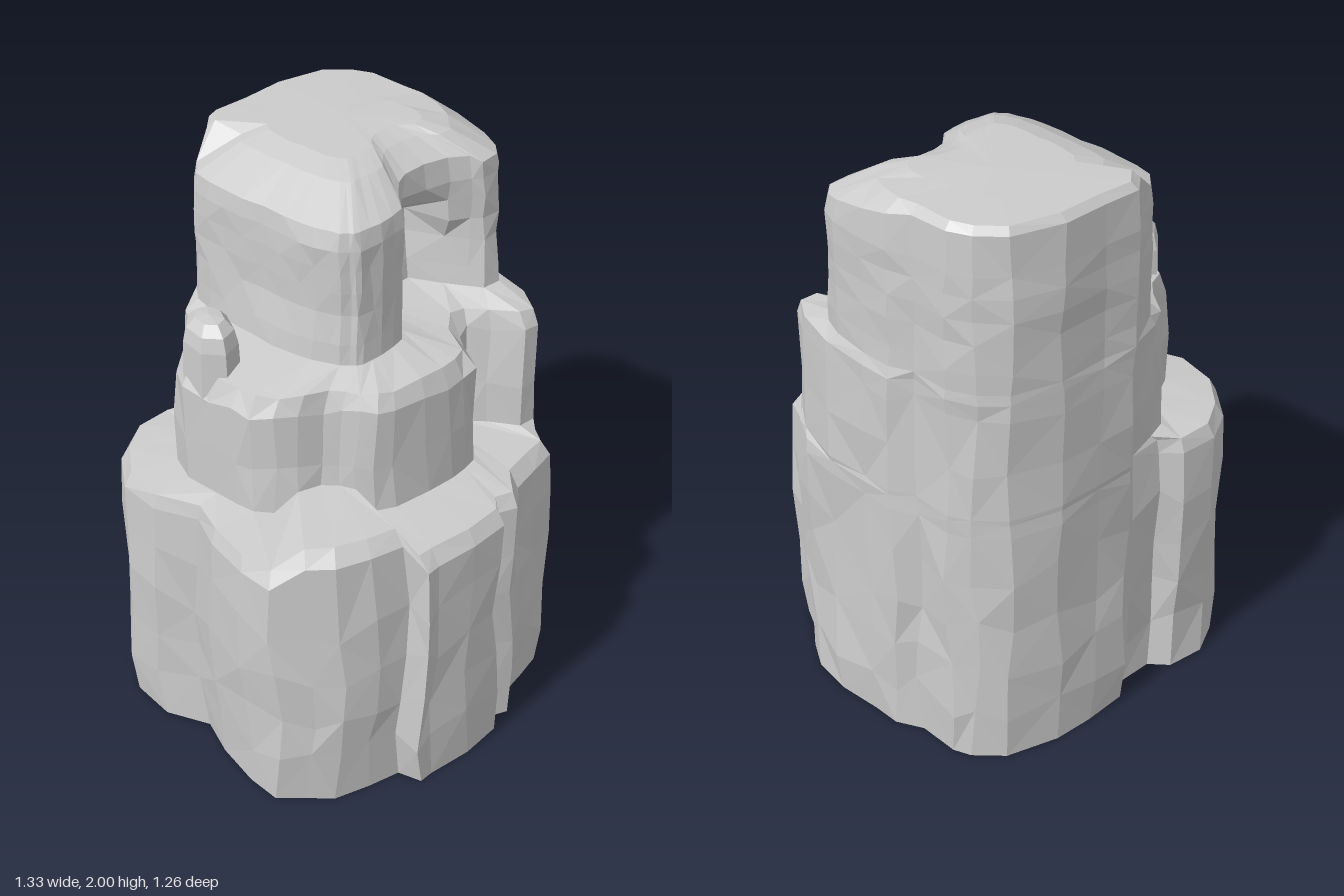
import * as THREE from 'three';

// Matching plan outlines (x, z), anticlockwise from the left: base, middle terrace, tower.
const pairs = (a) => Array.from({ length: a.length / 2 }, (_, i) => [a[2 * i], a[2 * i + 1]]);
const right = [.655, .08, .655, -.1, .645, -.21, .595, -.28, .595, -.42, .55, -.5, .47, -.575, .3, -.62, .13, -.615, 0, -.62, -.06, -.57];
const base = pairs([
  -.56, -.13, -.62, 0, -.655, .18, -.65, .32, -.57, .4, -.5, .47, -.38, .51, -.27, .53, -.25, .61, -.2, .605,
  -.05, .62, .1, .615, .14, .56, .21, .59, .26, .55, .3, .52, .42, .495, .52, .47, .55, .38, .6, .31, .64, .22,
  ...right, -.2, -.55, -.26, -.615, -.4, -.615, -.52, -.54, -.61, -.42, -.625, -.27]);
const middle = pairs([
  -.48, -.12, -.47, -.03, -.46, .03, -.42, .09, -.36, .14, -.28, .17, -.24, .22, -.22, .27, -.18, .32, -.12, .35,
  0, .365, .1, .37, .17, .37, .23, .36, .29, .25, .33, .19, .39, .18, .44, .24, .5, .34, .56, .35, .62, .25,
  ...right, -.17, -.54, -.25, -.5, -.3, -.42, -.36, -.37, -.44, -.33, -.48, -.24]);
const tower = pairs([
  -.2, -.08, -.19, 0, -.18, .05, -.16, .1, -.15, .13, -.13, .15, -.12, .165, -.1, .17, -.06, .17, -.02, .175,
  .04, .17, .09, .16, .12, .11, .13, .02, .15, -.09, .37, -.09, .43, .03, .47, .1, .5, .14, .57, .14, .61, .1,
  .635, .03, .64, -.1, .63, -.2, .595, -.28, .59, -.42, .55, -.5, .47, -.575, .3, -.62, .13, -.615, 0, -.62, -.06, -.57,
  -.15, -.53, -.2, -.47, -.21, -.4, -.21, -.33, -.21, -.25, -.2, -.17]);

// Niche points move forward to the lintel above, forming an arch: index -> [x, z, start height]
const lintel = {
  12: [.12, .12, 1.6], 13: [.17, .07, 1.66], 14: [.22, .05, 1.73],
  15: [.32, .05, 1.68], 16: [.41, .07, 1.58], 17: [.47, .11, 1.52],
};
const centre = [.27, -.27];
const mix = (a, b, t) => [a[0] + (b[0] - a[0]) * t, a[1] + (b[1] - a[1]) * t];
const clamp01 = (t) => THREE.MathUtils.clamp(t, 0, 1);

function seeded(seed) {
  return () => {
    seed = (seed * 16807) % 2147483647;
    return seed / 2147483647 - 0.5;
  };
}

function cliffGeometry() {
  const rand = seeded(71);
  const n = base.length;
  const rings = [];
  // Each ring is roughened and its ridges wander sideways as they climb
  const ring = (at, rough = 0.006) => rings.push(base.map((_, i) => {
    const [[x, z], y] = at(i);
    const angle = Math.atan2(z - centre[1], x - centre[0]);
    const sway = Math.sin(y * 6.5 + angle * 6) * .02 * (1 - y * .4);
    return [x - Math.sin(angle) * sway + rand() * rough, y, z + Math.cos(angle) * sway + rand() * rough];
  }));

  // Base walls, rounded rim and sloping ledge
  const ledge = ([x, z]) => (z > .1 && x > -.58 && x < -.26 ? 1.03 : .95);
  ring((i) => [mix(base[i], centre, .015), 0]);
  for (const y of [.18, .36, .54, .72]) ring((i) => [base[i], y + rand() * .09], 0.018);
  ring((i) => [mix(base[i], middle[i], .03), ledge(base[i]) - .05]);
  ring((i) => [mix(base[i], middle[i], .16), ledge(base[i])]);
  ring((i) => [mix(base[i], middle[i], .97), ledge(base[i]) + .02]);

  // Middle terrace
  for (const y of [1.14, 1.33]) ring((i) => [middle[i], y + rand() * .04], 0.014);
  ring((i) => [mix(middle[i], tower[i], .14), 1.395 + rand() * .015]);
  ring((i) => [mix(middle[i], tower[i], .9), 1.43]);

  // Tower walls and arched niche
  const towerAt = (i, y) => {
    if (!lintel[i]) return tower[i];
    return mix(tower[i], lintel[i], clamp01((y - lintel[i][2]) / .11));
  };
  ring((i) => [mix(tower[i], middle[i], .06), 1.5]);
  for (const y of [1.6, 1.68, 1.76, 1.83]) ring((i) => [towerAt(i, y), y], 0.01);

  // Crown: wide slope at the front and left, tight rim at the back, raised over the niche
  const soft = (i) => tower[i][0] < -.1 ? 1 : clamp01((towerAt(i, 2)[1] + .3) / .4);
  ring((i) => [mix(towerAt(i, 2), centre, .02), 1.965 - .075 * soft(i) + (lintel[i] ? .02 : 0)]);
  ring((i) => [mix(towerAt(i, 2), centre, .08 + .24 * soft(i)), 1.99 - .02 * soft(i)]);
  ring((i) => [mix(towerAt(i, 2), centre, .5), 1.995]);

  const pos = rings.flat(2);
  const index = [];
  for (let r = 0; r < rings.length - 1; r++) {
    for (let i = 0; i < n; i++) {
      const a = r * n + i, b = r * n + (i + 1) % n, c = b + n, d = a + n;
      if ((i + r) % 2) index.push(a, b, c, a, c, d);
      else index.push(a, b, d, b, c, d);
    }
  }
  const last = (rings.length - 1) * n;
  pos.push(centre[0], 2, centre[1]);
  for (let i = 0; i < n; i++) index.push(last + i, last + (i + 1) % n, last + n);

  const geo = new THREE.BufferGeometry();
  geo.setAttribute('position', new THREE.Float32BufferAttribute(pos, 3));
  geo.setIndex(index);
  const flat = geo.toNonIndexed();
  flat.computeVertexNormals();
  return flat;
}

export function createModel() {
  const group = new THREE.Group();
  group.name = 'rockTower';
  const rock = new THREE.MeshStandardMaterial({ color: 0xcccccc, flatShading: true, side: THREE.DoubleSide });

  // Terraced cliff, open underneath
  const cliff = new THREE.Mesh(cliffGeometry(), rock);
  cliff.name = 'terracedCliff';
  group.add(cliff);

  // Small pinnacle rising from the edge of the middle terrace
  const profile = [[.11, 0], [.102, .18], [.088, .23], [.055, .262], [0, .268]].map(([r, y]) => new THREE.Vector2(r, y));
  const pinnacle = new THREE.Mesh(new THREE.LatheGeometry(profile, 7), rock);
  pinnacle.name = 'pinnacle';
  pinnacle.scale.set(.82, 1, 1.12);
  pinnacle.position.set(-.39, 1.3, -.21);
  pinnacle.rotation.y = -.3;
  group.add(pinnacle);

  return group;
}
